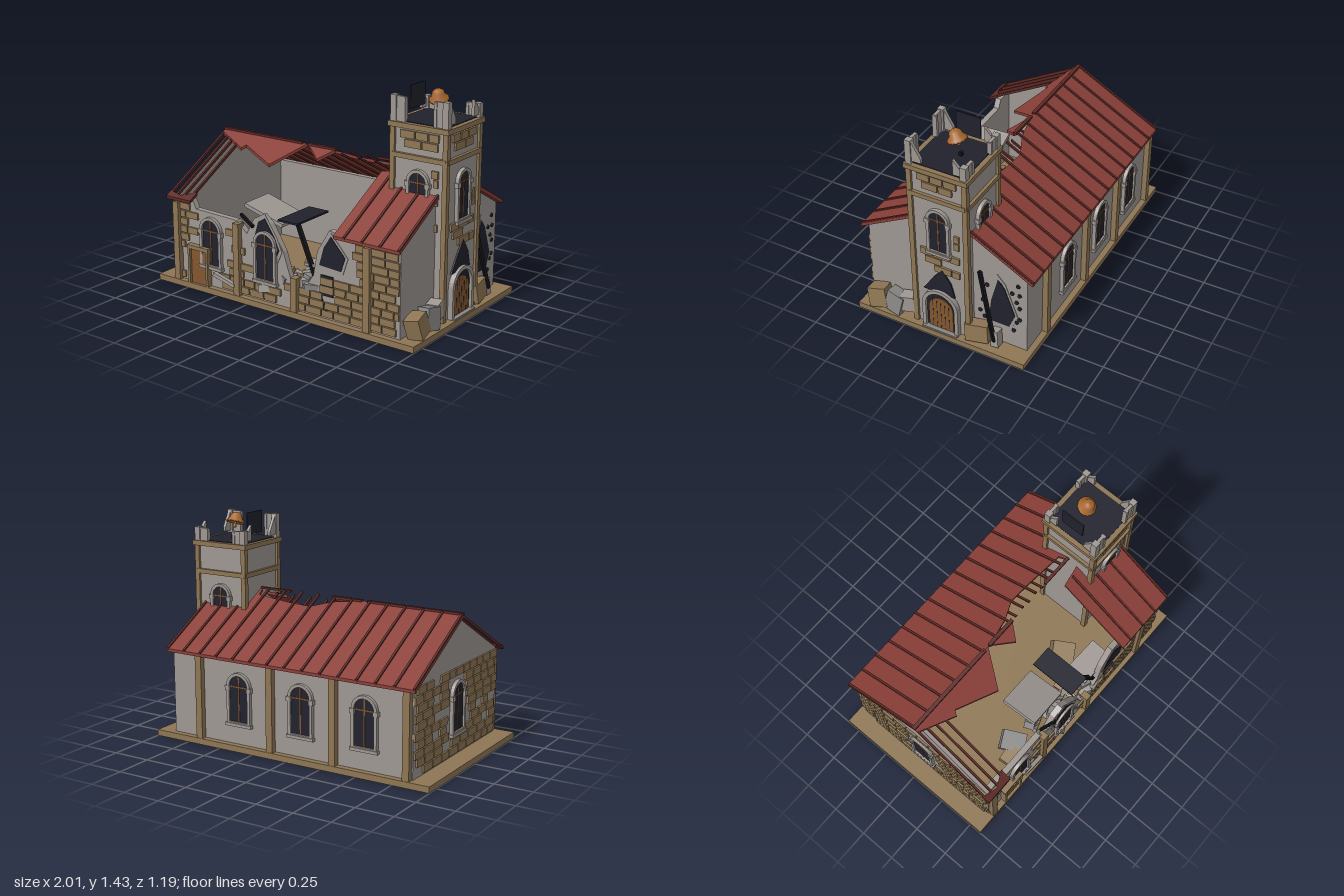
import * as THREE from 'three';
import { mergeGeometries } from 'three/addons/utils/BufferGeometryUtils.js';

const mat = (name, color) => new THREE.MeshStandardMaterial({ name, color });

export function createModel() {
  const M = {
    plaster: mat('plaster grey', 0x9f9893), stone: mat('sandstone', 0x8e7654),
    roof: mat('roof red', 0x8a3f38), rib: mat('dark red', 0x5c2925),
    dark: mat('glass dark', 0x20212c), wood: mat('door wood', 0x82562f),
    copper: mat('bell copper', 0xa8672f), char: mat('charred black', 0x121317),
    rubble: mat('rubble grey', 0x888786),
  };
  const root = new THREE.Group();
  root.name = 'ruinedChapel';
  let seed = 7;
  const rnd = () => (seed = (seed * 16807) % 2147483647) / 2147483647;

  const add = (parent, name, geo, m, x = 0, y = 0, z = 0) => {
    const mesh = new THREE.Mesh(geo, m);
    mesh.name = name;
    mesh.position.set(x, y, z);
    parent.add(mesh);
    return mesh;
  };
  // Box given by its limits
  const box = (p, name, m, x0, x1, y0, y1, z0, z1) => add(p, name,
    new THREE.BoxGeometry(x1 - x0, y1 - y0, z1 - z0), m, (x0 + x1) / 2, (y0 + y1) / 2, (z0 + z1) / 2);
  const poly = pts => new THREE.Shape(pts.map(p => new THREE.Vector2(...p)));
  const plate = (p, name, m, shape, z, depth) =>
    add(p, name, new THREE.ExtrudeGeometry(shape, { depth, bevelEnabled: false, curveSegments: 8 }), m, 0, 0, z);
  // Group whose +z points out of a wall
  const side = (name, x, z, turn) => {
    const g = new THREE.Group();
    g.name = name;
    g.position.set(x, 0, z);
    g.rotation.y = turn;
    root.add(g);
    return g;
  };
  const arch = (x, r, y0, y1, pointed = 1) => {
    const s = new THREE.Shape();
    s.moveTo(x - r, y0);
    s.lineTo(x + r, y0);
    s.lineTo(x + r, y1 - r * pointed);
    s.absellipse(x, y1 - r * pointed, r, r * pointed, 0, Math.PI, false);
    return s;
  };
  const archWindow = (p, x, y0, y1, r) => {
    const g = new THREE.Group();
    g.name = 'archWindow';
    p.add(g);
    const rim = arch(x, r + 0.02, y0 - 0.01, y1 + 0.02);
    rim.holes.push(arch(x, r, y0, y1));
    plate(g, 'windowFrame', M.plaster, rim, 0, 0.024);
    plate(g, 'windowGlass', M.dark, arch(x, r, y0, y1), 0.004, 0.008);
    box(g, 'windowSill', M.plaster, x - r - 0.028, x + r + 0.028, y0 - 0.028, y0 - 0.008, 0, 0.03);
    for (const s of [-1, 1]) box(g, 'springStone', M.plaster, x + s * (r + 0.013) - 0.016, x + s * (r + 0.013) + 0.016, y1 - r - 0.03, y1 - r, 0, 0.028);
    box(g, 'mullion', M.wood, x - 0.004, x + 0.004, y0, y1, 0.008, 0.016);
    box(g, 'transom', M.wood, x - r, x + r, y1 - r - 0.008, y1 - r, 0.008, 0.016);
  };
  // Staggered stone facing with a few blocks missing
  const bricks = (p, x0, x1, y0, y1, skip) => {
    const list = [], rows = Math.round((y1 - y0) / 0.054), h = (y1 - y0) / rows;
    for (let i = 0; i < rows; i++) {
      let x = x0 + (i % 2 ? 0.03 : 0);
      while (x < x1 - 0.03) {
        const w = Math.min(0.085 + rnd() * 0.04, x1 - x), y = y0 + (i + 0.5) * h;
        if (rnd() > 0.08 && ![0, 0.5, 1].some(t => skip(x + w * t, y))) {
          list.push(new THREE.BoxGeometry(w - 0.008, h - 0.008, 0.014).translate(x + w / 2, y, 0.006));
        }
        x += w;
      }
    }
    add(p, 'stoneFacing', mergeGeometries(list), M.stone);
  };

  // Base
  box(root, 'base', M.stone, -1, 1, 0, 0.04, -0.59, 0.59);

  // Front wall with the collapsed section
  const front = side('frontWall', 0, 0.55, 0);
  plate(front, 'brokenWall', M.plaster, poly([[-0.87, 0.04], [0.88, 0.04], [0.88, 0.6], [0.43, 0.6], [0.37, 0.61], [0.28, 0.46],
    [0.25, 0.3], [0.18, 0.2], [0.08, 0.22], [0.02, 0.4], [-0.08, 0.56], [-0.14, 0.61], [-0.21, 0.57], [-0.27, 0.46], [-0.35, 0.53],
    [-0.69, 0.54], [-0.72, 0.6], [-0.87, 0.6]]), -0.04, 0.04);
  const nearWindow = (x, y, xs, y0, y1, r) => y > y0 && y < y1 && xs.some(c => Math.abs(x - c) < r);
  bricks(front, -0.87, 0.88, 0.05, 0.57, (x, y) => nearWindow(x, y, [-0.56, -0.115], 0.16, 0.56, 0.09)
    || (x > -0.75 && x < -0.56 && y < 0.32) || (x > -0.34 && x < 0.27 && y > (x < 0 ? 0.42 : 0.2))
    || (x > 0.25 && x < 0.51 && y > 0.33) || (x > -0.72 && x < -0.3 && y > 0.52));
  archWindow(front, -0.56, 0.19, 0.49, 0.068);
  // Dark blast marks with a chipped rim
  const blast = (p, name, pts, z) => {
    const c = pts.reduce((a, q) => [a[0] + q[0] / pts.length, a[1] + q[1] / pts.length], [0, 0]);
    plate(p, name + 'Rim', M.plaster, poly(pts.map(q => q.map((v, i) => c[i] + (v - c[i]) * 1.2))), z, 0.004);
    plate(p, name, M.dark, poly(pts), z + 0.002, 0.006);
  };
  blast(front, 'blastHole', [[-0.22, 0.4], [-0.17, 0.56], [-0.12, 0.59], [-0.04, 0.47], [-0.01, 0.4], [-0.06, 0.29], [-0.2, 0.31]], 0);
  blast(front, 'blastHole', [[0.3, 0.38], [0.335, 0.5], [0.385, 0.575], [0.49, 0.46], [0.46, 0.37]], 0);
  archWindow(front, -0.115, 0.19, 0.49, 0.068);
  box(front, 'brokenWindow', M.dark, 0.31, 0.4, 0.19, 0.32, 0, 0.009);
  box(front, 'sideDoor', M.wood, -0.725, -0.59, 0.04, 0.27, 0, 0.022);
  for (const x of [-0.74, -0.59]) box(front, 'doorPost', M.stone, x, x + 0.017, 0.02, 0.28, 0, 0.04);
  box(front, 'doorLintel', M.stone, -0.745, -0.567, 0.275, 0.3, 0, 0.04);

  // Back wall
  const back = side('backWall', 0, -0.55, Math.PI);
  box(back, 'wall', M.plaster, -0.88, 0.87, 0.04, 0.6, -0.04, 0);
  for (const x of [-0.36, 0.1, 0.55]) archWindow(back, x, 0.19, 0.49, 0.068);

  // Buttress pillars, some broken at the front
  [[-0.84, 0.57], [-0.335, 0.52], [0.12, 0.26], [0.66, 0.57]].forEach(([x, h]) => {
    box(front, 'pillar', M.stone, x - 0.023, x + 0.023, 0.04, h, -0.02, 0.036);
    box(back, 'pillar', M.stone, -x - 0.023, -x + 0.023, 0.04, 0.58, 0, 0.036);
  });

  // Gable walls
  const gable = poly([[-0.55, 0.04], [0.55, 0.04], [0.55, 0.6], [0, 0.905], [-0.55, 0.6]]);
  const left = side('leftGable', -0.87, 0, -Math.PI / 2);
  plate(left, 'gable', M.plaster, gable, -0.03, 0.03);
  bricks(left, -0.55, 0.55, 0.05, 0.6, (x, y) => nearWindow(x, y, [0], 0.16, 0.56, 0.09));
  archWindow(left, 0, 0.2, 0.5, 0.068);
  const right = side('rightGable', 0.88, 0, Math.PI / 2);
  plate(right, 'gable', M.plaster, gable, -0.03, 0.03);
  blast(right, 'shellHole', [[0.355, 0.53], [0.31, 0.36], [0.29, 0.19], [0.43, 0.19], [0.47, 0.29], [0.4, 0.48]], 0);
  for (const [x, y] of [[0.25, 0.41], [0.25, 0.33], [0.23, 0.24], [0.26, 0.2], [0.28, 0.46], [0.37, 0.5], [0.49, 0.53], [0.45, 0.46],
    [0.5, 0.46], [0.48, 0.4], [0.5, 0.36], [0.5, 0.27], [0.48, 0.24], [0.46, 0.17]]) {
    add(right, 'shrapnelMark', new THREE.CylinderGeometry(0.014, 0.014, 0.008, 8).rotateX(Math.PI / 2), M.dark, x, y, 0.003);
  }

  // Roof panels: outline in x and z, draped on the slope
  const drape = (name, m, pts, lift = 0, t = 0.02) => {
    const geo = new THREE.ExtrudeGeometry(poly(pts.map(([x, z]) => [x, -z])), { depth: t, bevelEnabled: false });
    const a = geo.attributes.position;
    for (let i = 0; i < a.count; i++) {
      const z = -a.getY(i);
      a.setXYZ(i, a.getX(i), 0.91 - 0.55 * Math.abs(z) + lift + a.getZ(i), z);
    }
    geo.computeVertexNormals();
    return add(root, name, geo, m);
  };
  const strip = (name, m, x, w, z0, z1, lift, t) =>
    drape(name, m, [[x - w / 2, z0], [x + w / 2, z0], [x + w / 2, z1], [x - w / 2, z1]], lift, t);
  drape('backRoof', M.roof, [[-0.905, -0.595], [0.9, -0.595], [0.9, 0], [0.56, 0], [0.55, -0.06], [0.3, -0.09], [0.13, -0.1],
    [0, -0.04], [-0.2, 0], [-0.905, 0]]);
  drape('frontRoof', M.roof, [[0.43, 0.09], [0.56, 0.07], [0.9, 0.07], [0.9, 0.595], [0.43, 0.595]]);
  drape('tornRoof', M.roof, [[-0.9, 0], [-0.9, 0.03], [-0.66, 0.13], [-0.64, 0.1], [-0.36, 0.21], [-0.21, 0]]);
  drape('tornRoof', M.roof, [[-0.2, 0], [-0.06, 0.1], [0.02, 0]]);
  drape('tornEave', M.rib, [[-0.905, 0.595], [-0.905, 0.55], [-0.8, 0.57], [-0.7, 0.52], [-0.7, 0.595]]);
  for (let i = 0; i < 29; i++) {
    const x = -0.895 + i * 0.0638;
    if (i % 2 === 0) strip('roofRib', M.rib, x, 0.015, -0.597, 0, 0.016, 0.014);
    else if (x < 0.56) strip('rafter', M.rib, x, 0.014, -0.58, 0, -0.012, 0.014);
    if (x > 0.43 && i % 2 === 0) strip('roofRib', M.rib, x, 0.015, 0.09, 0.597, 0.016, 0.014);
  }
  for (const x of [-0.895, -0.84, -0.785, -0.725]) strip('bareRafter', M.rib, x, 0.014, 0, 0.59, -0.002, 0.02);
  box(root, 'ridgeBeam', M.rib, -0.905, -0.24, 0.92, 0.938, -0.012, 0.012);
  box(root, 'ridgeBeam', M.rib, -0.2, 0.02, 0.92, 0.938, -0.012, 0.012);
  box(root, 'ridgeBeam', M.rib, 0.34, 0.57, 0.925, 0.938, -0.01, 0.01);

  // Tower: four faces around a core, stone faced to the front and right
  const cx = 0.76;
  box(root, 'towerCore', M.plaster, cx - 0.185, cx + 0.185, 0.04, 1.22, -0.185, 0.185);
  for (let k = 0; k < 4; k++) {
    const a = k * Math.PI / 2;
    const f = side('towerFace', cx + 0.185 * Math.sin(a), 0.185 * Math.cos(a), a);
    box(f, 'band', M.stone, -0.19, 0.19, 1.025, 1.055, 0, 0.02);
    box(f, 'cornice', M.stone, -0.21, 0.21, 1.21, 1.242, -0.03, 0.026);
    box(f, 'cornerPost', M.stone, 0.168, 0.201, 0.04, 1.22, -0.017, 0.016);
    if (k < 2) bricks(f, -0.135, 0.14, k ? 0.05 : 0.6, 1.2, (x, y) => nearWindow(x, y, [0], 0.63, 0.98, 0.08)
      || (y > 1 && y < 1.075) || (k === 1 && ((y < 0.36 && Math.abs(x) < 0.12) || (y < 0.52 && Math.abs(x) < 0.12 - (y - 0.33) * 0.55))));
    if (k < 3) archWindow(f, 0, 0.66, 0.95, 0.057);
    if (k === 1) {
      plate(f, 'porchHole', M.dark, poly([[-0.12, 0.33], [0.1, 0.33], [0.075, 0.43], [0.015, 0.52], [-0.05, 0.44]].map(([x, y]) => [x, y])), 0.006, 0.009);
      const rim = arch(0, 0.125, 0.04, 0.355);
      rim.holes.push(arch(0, 0.1, 0.04, 0.33));
      plate(f, 'doorArch', M.plaster, rim, 0, 0.034);
      plate(f, 'doorRecess', M.dark, arch(0, 0.1, 0.04, 0.33), 0.006, 0.009);
      plate(f, 'mainDoor', M.wood, arch(0, 0.085, 0.04, 0.29), 0.012, 0.009);
      for (const x of [-0.056, -0.028, 0, 0.028, 0.056]) box(f, 'doorSeam', M.dark, x - 0.001, x + 0.001, 0.04, 0.275, 0.019, 0.022);
      box(f, 'doorStep', M.rubble, -0.12, 0.12, 0.03, 0.05, 0, 0.05);
    }
  }
  box(root, 'belfryFloor', M.dark, cx - 0.18, cx + 0.18, 1.215, 1.246, -0.18, 0.18);

  // Broken belfry corners
  for (const sx of [-1, 1]) for (const sz of [-1, 1]) {
    const g = new THREE.Group();
    g.name = 'belfryCorner';
    g.position.set(cx, 0, 0);
    root.add(g);
    const top = sz > 0 ? 1.4 : 1.33;
    box(g, 'cornerStub', M.plaster, sx * 0.18 - 0.02, sx * 0.18 + 0.02, 1.235, top, sz * 0.18 - 0.02, sz * 0.18 + 0.02);
    box(g, 'brokenWall', M.plaster, sx * 0.135 - 0.035, sx * 0.135 + 0.035, 1.235, top - 0.005, sz * 0.182 - 0.01, sz * 0.182 + 0.01);
    box(g, 'jamb', M.plaster, sx * 0.108 - 0.01, sx * 0.108 + 0.01, 1.235, top - 0.01, sz * 0.182 - 0.015, sz * 0.182 + 0.015);
    const prof = sz > 0 ? [[0.19, 1.26], [0.19, 1.4], [0.165, 1.4], [0.1, 1.29], [0.1, 1.26]]
      : [[-0.19, 1.26], [-0.19, 1.31], [-0.165, 1.3], [-0.11, 1.36], [-0.11, 1.26]];
    const wing = plate(g, 'tornWing', M.plaster, poly(prof.map(([z, y]) => [-z, y])), 0, 0.02);
    wing.rotation.y = Math.PI / 2;
    wing.position.x = sx * 0.182 - 0.01;
  }
  box(root, 'loosePanel', M.dark, 0.606, 0.614, 1.29, 1.435, -0.1, 0.062);

  // Tilted bell
  const bell = new THREE.Group();
  bell.name = 'bell';
  bell.position.set(0.755, 1.35, -0.03);
  bell.rotation.x = 0.35;
  root.add(bell);
  const bellProfile = [[0, 0.01], [0.045, 0.01], [0.062, 0], [0.06, 0.012], [0.042, 0.03], [0.036, 0.055], [0.02, 0.068], [0, 0.07]];
  add(bell, 'bellShell', new THREE.LatheGeometry(bellProfile.map(p => new THREE.Vector2(...p)), 16), M.copper);
  add(bell, 'clapper', new THREE.CylinderGeometry(0.006, 0.012, 0.04, 8), M.copper, 0, -0.01, 0);
  add(root, 'fallenBolt', new THREE.BoxGeometry(0.02, 0.025, 0.02), M.char, 0.755, 1.262, -0.05);

  // Charred beams
  const beam = (a, b, t) => {
    const p = new THREE.Vector3(...a), q = new THREE.Vector3(...b);
    const m = add(root, 'charredBeam', new THREE.BoxGeometry(t, t, p.distanceTo(q)), M.char);
    m.position.copy(p).add(q).multiplyScalar(0.5);
    m.lookAt(q);
  };
  beam([0.07, 0.58, 0.47], [0.35, 0.09, 0.55], 0.024);
  beam([0.9, 0.56, -0.24], [0.95, 0.09, -0.36], 0.022);
  beam([-0.33, 0.57, 0.53], [-0.21, 0.52, 0.56], 0.018);

  // Fallen slabs and rubble: position, size, turn
  const chunk = (m, x, y, z, w, h, d, rx, ry, rz) =>
    add(root, 'rubble', new THREE.BoxGeometry(w, h, d), m, x, y, z).rotation.set(rx, ry, rz);
  chunk(M.plaster, -0.2, 0.575, 0.355, 0.3, 0.025, 0.25, 0, 0.05, -0.3);
  chunk(M.dark, 0.045, 0.592, 0.38, 0.15, 0.012, 0.32, 0, 0, 0);
  chunk(M.plaster, 0.29, 0.345, 0.44, 0.26, 0.016, 0.16, 0, -0.04, 0.03);
  chunk(M.stone, 0.24, 0.24, 0.25, 0.18, 0.15, 0.15, 0.2, 0.6, 0.2);
  chunk(M.stone, -0.49, 0.11, 0.44, 0.12, 0.12, 0.14, 0.1, 0.1, 0.1);
  chunk(M.rubble, -0.41, 0.13, 0.37, 0.13, 0.12, 0.16, 0.2, 0.5, 0.1);
  chunk(M.stone, 0.94, 0.115, 0.46, 0.1, 0.13, 0.12, 0.2, 0.15, 0.15);
  chunk(M.rubble, 0.945, 0.12, 0.335, 0.08, 0.14, 0.12, -0.2, -0.1, 0.1);
  chunk(M.plaster, 0.93, 0.14, 0.25, 0.08, 0.11, 0.09, 0.1, 0.2, 0);
  chunk(M.stone, 0.93, 0.11, -0.24, 0.08, 0.12, 0.15, 0.1, 0.15, 0.1);
  chunk(M.plaster, 0.92, 0.1, -0.36, 0.06, 0.11, 0.05, 0.1, 0, 0.1);
  chunk(M.plaster, -0.44, 0.12, 0.575, 0.18, 0.025, 0.03, 0, 0, -0.25);
  for (let i = 0; i < 34; i++) {
    const x = -0.22 + rnd() * 0.56, pile = 0.24 - Math.abs(x - 0.1) * 0.45;
    chunk([M.plaster, M.rubble, M.stone][i % 3], x, 0.06 + rnd() * pile, 0.36 + rnd() * 0.19,
      0.06 + rnd() * 0.07, 0.03 + rnd() * 0.04, 0.04 + rnd() * 0.05, (rnd() - 0.5) * 0.5, rnd() - 0.5, (rnd() - 0.5) * 1.2);
  }
  return root;
}
